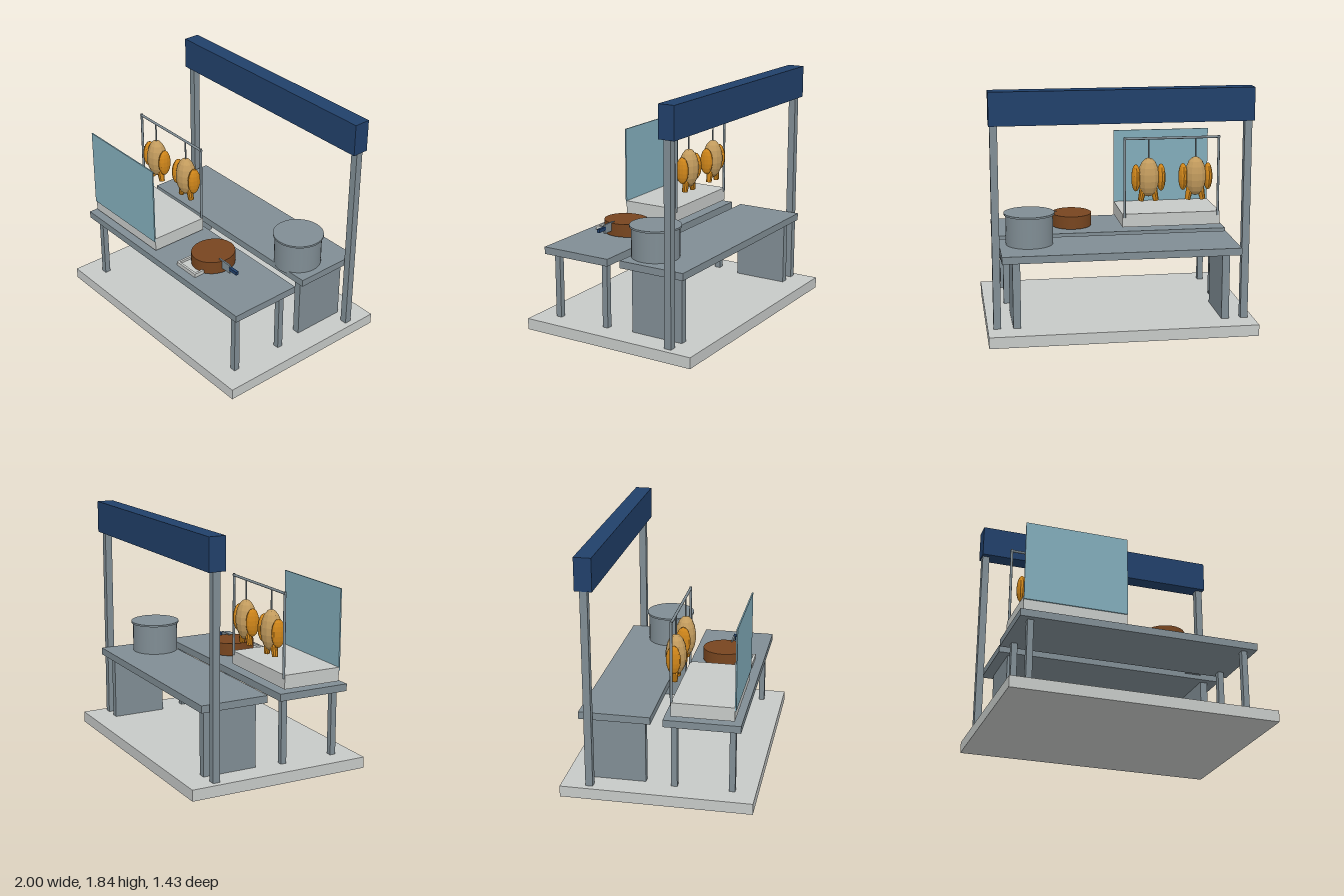
import * as THREE from 'three';

const mat = (name, color, extra = {}) => {
  const m = new THREE.MeshStandardMaterial({ color, ...extra });
  m.name = name;
  return m;
};

export function createModel() {
  const stone = mat('pale stone', 0xc6c9c7);
  const steel = mat('steel grey', 0x808d94);
  const navy = mat('navy', 0x21406a);
  const glass = mat('glass blue', 0x82acba);
  const wood = mat('chopping wood', 0x77451f);
  const tan = mat('roast tan', 0xc39c5e, { flatShading: true });
  const amber = mat('roast amber', 0xd0861a, { flatShading: true });

  const root = new THREE.Group();
  root.name = 'foodStall';

  const add = (name, geometry, material, parent = root) => {
    const mesh = new THREE.Mesh(geometry, material);
    mesh.name = name;
    parent.add(mesh);
    return mesh;
  };
  // Box given by its limits on each axis
  const box = (name, material, [x0, x1], [y0, y1], [z0, z1], parent) => {
    const mesh = add(name, new THREE.BoxGeometry(x1 - x0, y1 - y0, z1 - z0), material, parent);
    mesh.position.set((x0 + x1) / 2, (y0 + y1) / 2, (z0 + z1) / 2);
    return mesh;
  };
  // Upright cylinder from y0 to y1
  const rod = (name, material, r, x, z, y0, y1, sides = 10, parent) => {
    const mesh = add(name, new THREE.CylinderGeometry(r, r, y1 - y0, sides), material, parent);
    mesh.position.set(x, (y0 + y1) / 2, z);
    return mesh;
  };
  const blob = (name, material, rx, ry, rz, x, y, z, parent) => {
    const mesh = add(name, new THREE.SphereGeometry(1, 12, 9), material, parent);
    mesh.scale.set(rx, ry, rz);
    mesh.position.set(x, y, z);
    return mesh;
  };

  // Floor and overhead sign board
  box('floor', stone, [-1, 1], [0, 0.085], [-0.715, 0.715]);
  box('signBoard', navy, [-0.965, 0.965], [1.595, 1.84], [-0.565, -0.437]);

  // Counters
  box('frontCounterTop', steel, [-0.91, 0.91], [0.59, 0.645], [0.04, 0.607]);
  box('backCounterTop', steel, [-0.89, 0.89], [0.59, 0.645], [-0.587, -0.055]);
  for (const s of [-1, 1]) {
    const span = (a, b) => (s > 0 ? [a, b] : [-b, -a]);
    box('signPost', steel, span(0.902, 0.957), [0.085, 1.6], [-0.53, -0.475]);
    box('backCounterPanel', steel, span(0.755, 0.812), [0.085, 0.59], [-0.532, -0.107]);
    for (const z of [0.112, 0.54])
      box('frontCounterLeg', steel, span(0.8, 0.845), [0.085, 0.59], [z - 0.0225, z + 0.0225]);
  }

  // Display base with glass guard
  box('displayBase', stone, [-0.877, -0.097], [0.665, 0.77], [0.093, 0.556]);
  box('glassGuard', glass, [-0.877, -0.097], [0.745, 1.36], [0.555, 0.565]);

  // Hanging rack
  const rackZ = 0.094;
  for (const x of [-0.86, -0.114]) rod('rackPost', steel, 0.01, x, rackZ, 0.74, 1.38);
  const rail = rod('rackRail', steel, 0.01, 0, 0, 0, 0.764);
  rail.rotation.z = Math.PI / 2;
  rail.position.set(-0.487, 1.368, rackZ);

  // Roast birds on hooks
  for (const x of [-0.676, -0.302]) {
    const bird = new THREE.Group();
    bird.name = 'roastBird';
    bird.position.set(x, 0, rackZ);
    root.add(bird);
    rod('hook', steel, 0.006, 0, 0, 1.19, 1.37, 8, bird);
    blob('birdBody', tan, 0.086, 0.155, 0.077, 0, 1.062, 0, bird);
    for (const s of [-1, 1]) {
      blob('birdWing', amber, 0.036, 0.108, 0.055, s * 0.1, 1.058, 0, bird);
      const leg = add('birdLeg', new THREE.CylinderGeometry(0.03, 0.022, 0.11, 10), amber, bird);
      leg.position.set(s * 0.05, 0.928, 0);
      leg.rotation.z = s * 0.2;
    }
  }

  // Stock pot with lid rim
  rod('potBody', steel, 0.178, 0.66, -0.214, 0.625, 0.872, 32);
  rod('potLid', steel, 0.191, 0.66, -0.214, 0.872, 0.886, 32);

  // Oval chopping block
  const block = rod('choppingBlock', wood, 0.172, 0.283, 0.301, 0.653, 0.753, 28);
  block.scale.x = 0.915;

  // Cleaver
  box('cleaverBlade', steel, [0.4, 0.525], [0.69, 0.76], [0.33, 0.343]);
  box('cleaverHandle', navy, [0.52, 0.605], [0.717, 0.744], [0.325, 0.348]);

  // Shallow tray with raised rim
  const [tx0, tx1, tz0, tz1, w] = [0.14, 0.357, 0.4, 0.538, 0.018];
  box('trayFloor', stone, [tx0, tx1], [0.65, 0.662], [tz0, tz1]);
  for (const x of [tx0, tx1 - w]) box('trayRimSide', stone, [x, x + w], [0.65, 0.68], [tz0, tz1]);
  for (const z of [tz0, tz1 - w])
    box('trayRimEnd', stone, [tx0 + w, tx1 - w], [0.65, 0.68], [z, z + w]);

  return root;
}
